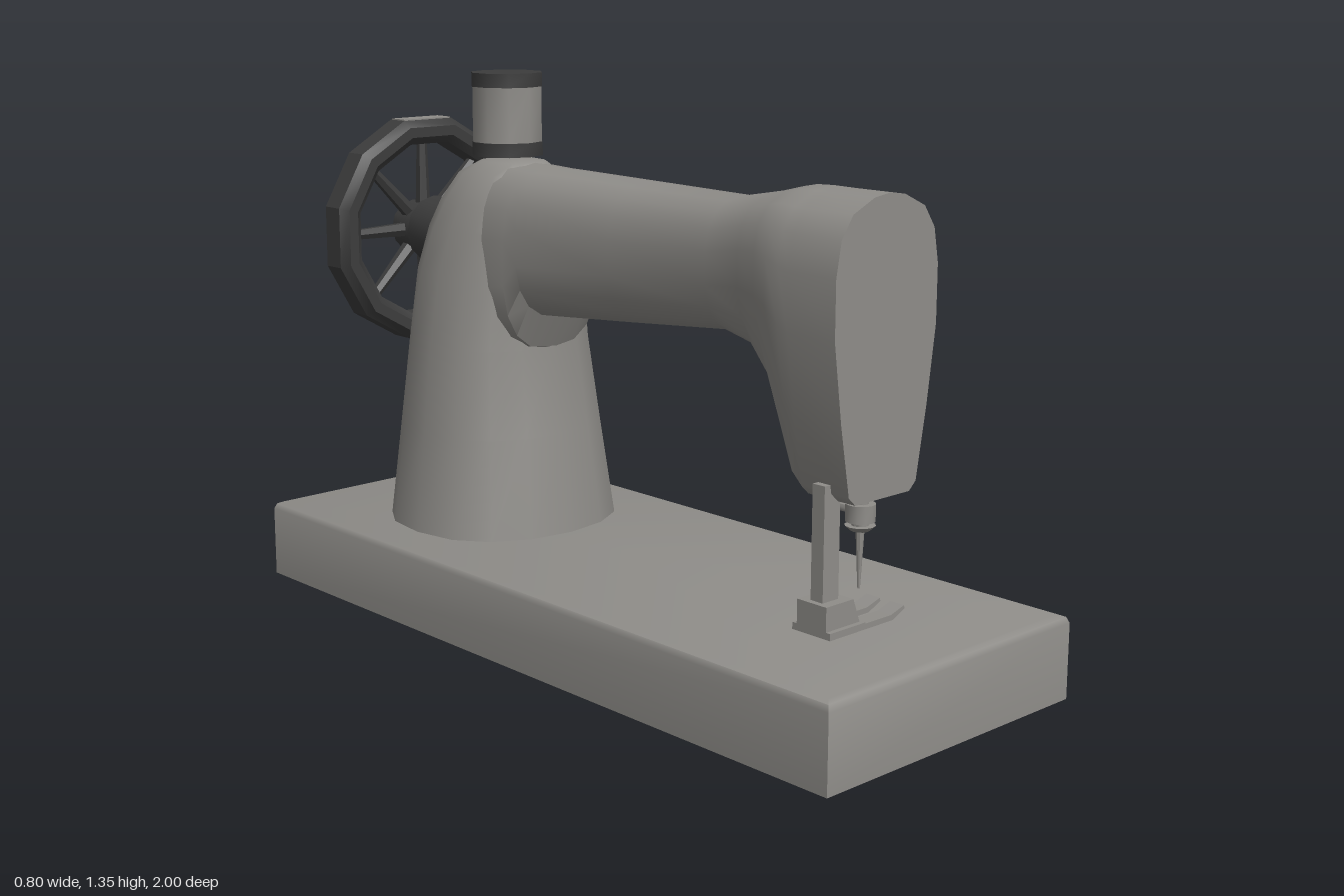
import * as THREE from 'three';
import { toCreasedNormals } from 'three/addons/utils/BufferGeometryUtils.js';

const material = (name, color) => {
  const m = new THREE.MeshStandardMaterial({ color });
  m.name = name;
  return m;
};

// Closed skin over rings of [x, y, z] points, with flat caps at both ends
function loft(rings, crease = 0.6) {
  const n = rings[0].length, last = (rings.length - 1) * n;
  const pos = rings.flat(), index = [];
  for (let i = 0; i < rings.length - 1; i++) {
    for (let j = 0; j < n; j++) {
      const a = i * n + j, b = i * n + (j + 1) % n;
      index.push(a, b, b + n, a, b + n, a + n);
    }
  }
  const centre = ring => [0, 1, 2].map(k => ring.reduce((s, p) => s + p[k], 0) / n);
  const c0 = pos.length, c1 = c0 + 1;
  const all = [...pos, centre(rings[0]), centre(rings[rings.length - 1])];
  for (let j = 0; j < n; j++) {
    const k = (j + 1) % n;
    index.push(c0, k, j, c1, last + j, last + k);
  }
  const g = new THREE.BufferGeometry();
  g.setAttribute('position', new THREE.Float32BufferAttribute(all.flat(), 3));
  g.setIndex(index);
  return toCreasedNormals(g, crease);
}

const spow = (v, e) => Math.sign(v) * Math.abs(v) ** e;

// Half outline of the head, bottom to top, as fractions of width and height
const HEAD = [[0, 0], [0.54, 0], [0.67, 0.03], [0.85, 0.28], [1, 0.55],
  [1, 0.75], [0.91, 0.87], [0.7, 0.945], [0.3, 0.99], [0, 1]];

// Arm section: k blends from a rounded tube (0) to the head outline (1)
function armRing([z, top, bottom, w, k]) {
  const half = HEAD.map(([hu, hv], i) => {
    const a = -Math.PI / 2 + Math.PI * i / (HEAD.length - 1);
    const u = Math.abs(Math.cos(a)) ** 0.75, v = 0.5 + 0.5 * spow(Math.sin(a), 0.8);
    return [w * (u + (hu - u) * k), bottom + (top - bottom) * (v + (hv - v) * k), z];
  });
  half[0][0] = half[HEAD.length - 1][0] = 0;
  return [...half, ...half.slice(1, -1).reverse().map(([x, y, zz]) => [-x, y, zz])];
}

// Pillar section: rounded outline, a little fuller at the back
function pillarRing([y, front, back, w]) {
  const mid = (front + back) / 2, d = (front - back) / 2;
  return Array.from({ length: 16 }, (_, i) => {
    const a = i / 16 * Math.PI * 2, c = Math.cos(a);
    return [w * spow(Math.sin(a), c < 0 ? 0.75 : 0.95), y, mid + d * spow(c, 0.85)];
  });
}

export function createModel() {
  const model = new THREE.Group();
  const grey = material('grey metal', 0x8f8d89);
  const dark = material('dark grey', 0x3c3c3c);

  const add = (name, geometry, mat, x = 0, y = 0, z = 0, parent = model) => {
    const mesh = new THREE.Mesh(geometry, mat);
    mesh.name = name;
    mesh.position.set(x, y, z);
    parent.add(mesh);
    return mesh;
  };
  const cyl = (rTop, rBottom, h, sides = 12) =>
    toCreasedNormals(new THREE.CylinderGeometry(rTop, rBottom, h, sides), 0.8);

  // Base slab with softened top edges
  add('base', loft([[0, 0], [0.18, 0], [0.194, 0.006], [0.2, 0.02]].map(([y, inset]) => {
    const x = 0.4 - inset, z = 1 - inset;
    return [[x, y, z], [x, y, -z], [-x, y, -z], [-x, y, z]];
  }), 0.9), grey);

  // Pillar: height, front z, back z, half width
  add('pillar', loft([
    [0.19, -0.24, -0.775, 0.29], [0.45, -0.277, -0.75, 0.255], [0.67, -0.308, -0.727, 0.228],
    [0.85, -0.31, -0.71, 0.203], [0.96, -0.31, -0.683, 0.175], [1.03, -0.31, -0.65, 0.152],
    [1.1, -0.33, -0.6, 0.115], [1.13, -0.37, -0.54, 0.075], [1.138, -0.42, -0.5, 0.035],
  ].map(pillarRing), 0.75), grey);

  // Arm and head: z, top, bottom, half width, head blend
  add('armAndHead', loft([
    [-0.5, 1.137, 0.62, 0.15, 0], [-0.31, 1.127, 0.67, 0.16, 0], [-0.27, 1.125, 0.757, 0.152, 0],
    [0.05, 1.12, 0.783, 0.138, 0], [0.36, 1.115, 0.81, 0.125, 0], [0.48, 1.137, 0.79, 0.145, 0.3],
    [0.54, 1.152, 0.73, 0.156, 0.6], [0.58, 1.16, 0.635, 0.162, 0.85], [0.62, 1.16, 0.53, 0.163, 1],
    [0.65, 1.16, 0.5, 0.163, 1], [0.785, 1.16, 0.5, 0.163, 1],
  ].map(armRing), 0.75), grey);

  // Thread spool
  const spool = new THREE.Group();
  spool.name = 'spool';
  spool.position.set(0, 0, -0.48);
  model.add(spool);
  add('spoolThread', cyl(0.09, 0.09, 0.15, 10), grey, 0, 1.245, 0, spool);
  for (const y of [1.16, 1.333]) add('spoolFlange', cyl(0.092, 0.092, 0.035, 10), dark, 0, y, 0, spool);

  // Hand wheel with rim, grip mark, hub and spokes
  const wheel = new THREE.Group();
  wheel.name = 'handWheel';
  wheel.position.set(0, 0.92, -0.843);
  model.add(wheel);
  const profile = pts => pts.map(([r, y]) => new THREE.Vector2(r, y));
  const rimShape = [[0.235, -0.035], [0.255, -0.052], [0.282, -0.052], [0.3, -0.03], [0.3, 0.03],
    [0.282, 0.052], [0.255, 0.052], [0.235, 0.035], [0.235, -0.035]];
  const rim = add('wheelRim', toCreasedNormals(
    new THREE.LatheGeometry(profile(rimShape), 12, Math.PI / 12), 0.5), dark, 0, 0, 0, wheel);
  rim.rotation.x = Math.PI / 2;
  add('gripMark', new THREE.BoxGeometry(0.15, 0.004, 0.055), grey, 0, 0.291, 0, wheel);
  const turned = (name, r0, r1, z0, z1) => {
    const m = add(name, cyl(r1, r0, z1 - z0, 12), dark, 0, 0, (z0 + z1) / 2, wheel);
    m.rotation.x = Math.PI / 2;
  };
  turned('wheelHub', 0.07, 0.075, -0.045, 0.06);
  turned('axle', 0.09, 0.09, 0.05, 0.175);
  for (let i = 0; i < 8; i++) {
    const spoke = new THREE.Group();
    spoke.name = 'spoke';
    spoke.rotation.z = i * Math.PI / 4;
    add('spokeRod', cyl(0.013, 0.02, 0.2, 6), dark, 0, 0.15, 0, spoke);
    wheel.add(spoke);
  }

  // Needle bar, clamp, thumb screw and needle
  const needle = new THREE.Group();
  needle.name = 'needleAssembly';
  needle.position.set(0.01, 0, 0.715);
  model.add(needle);
  add('needleBar', cyl(0.018, 0.018, 0.06), grey, 0, 0.49, 0, needle);
  add('needleClamp', cyl(0.034, 0.034, 0.04), grey, 0, 0.453, 0, needle);
  add('clampNeck', cyl(0.02, 0.02, 0.02), grey, 0, 0.43, 0, needle);
  add('clampRing', cyl(0.035, 0.022, 0.012), grey, 0, 0.418, 0, needle);
  add('needle', cyl(0.01, 0.003, 0.135, 8), grey, 0, 0.346, 0, needle);
  const screw = add('screwShaft', cyl(0.011, 0.011, 0.07, 8), grey, 0, 0.455, -0.06, needle);
  const knob = add('screwKnob', cyl(0.021, 0.021, 0.022, 8), grey, 0, 0.455, -0.1, needle);
  screw.rotation.x = knob.rotation.x = Math.PI / 2;

  // Presser bar and forked foot
  const foot = new THREE.Group();
  foot.name = 'presserFoot';
  model.add(foot);
  add('presserBar', new THREE.BoxGeometry(0.05, 0.27, 0.035), grey, -0.105, 0.405, 0.718, foot);
  const slab = (name, pts, depth, z) => {
    const shape = new THREE.Shape(pts.map(([x, y]) => new THREE.Vector2(x, y)));
    add(name, new THREE.ExtrudeGeometry(shape, { depth, bevelEnabled: false }), grey, 0, 0, z, foot);
  };
  slab('footBlock', [[-0.145, 0.22], [-0.035, 0.22], [-0.058, 0.28], [-0.145, 0.28]], 0.085, 0.675);
  slab('footSole', [[-0.145, 0.208], [-0.03, 0.208], [-0.03, 0.224], [-0.145, 0.224]], 0.11, 0.662);
  for (const z of [0.662, 0.732]) {
    slab('footToe', [[-0.035, 0.208], [0.06, 0.208], [0.1, 0.226], [0.098, 0.234], [0.055, 0.221],
      [-0.035, 0.221]], 0.04, z);
  }
  return model;
}
